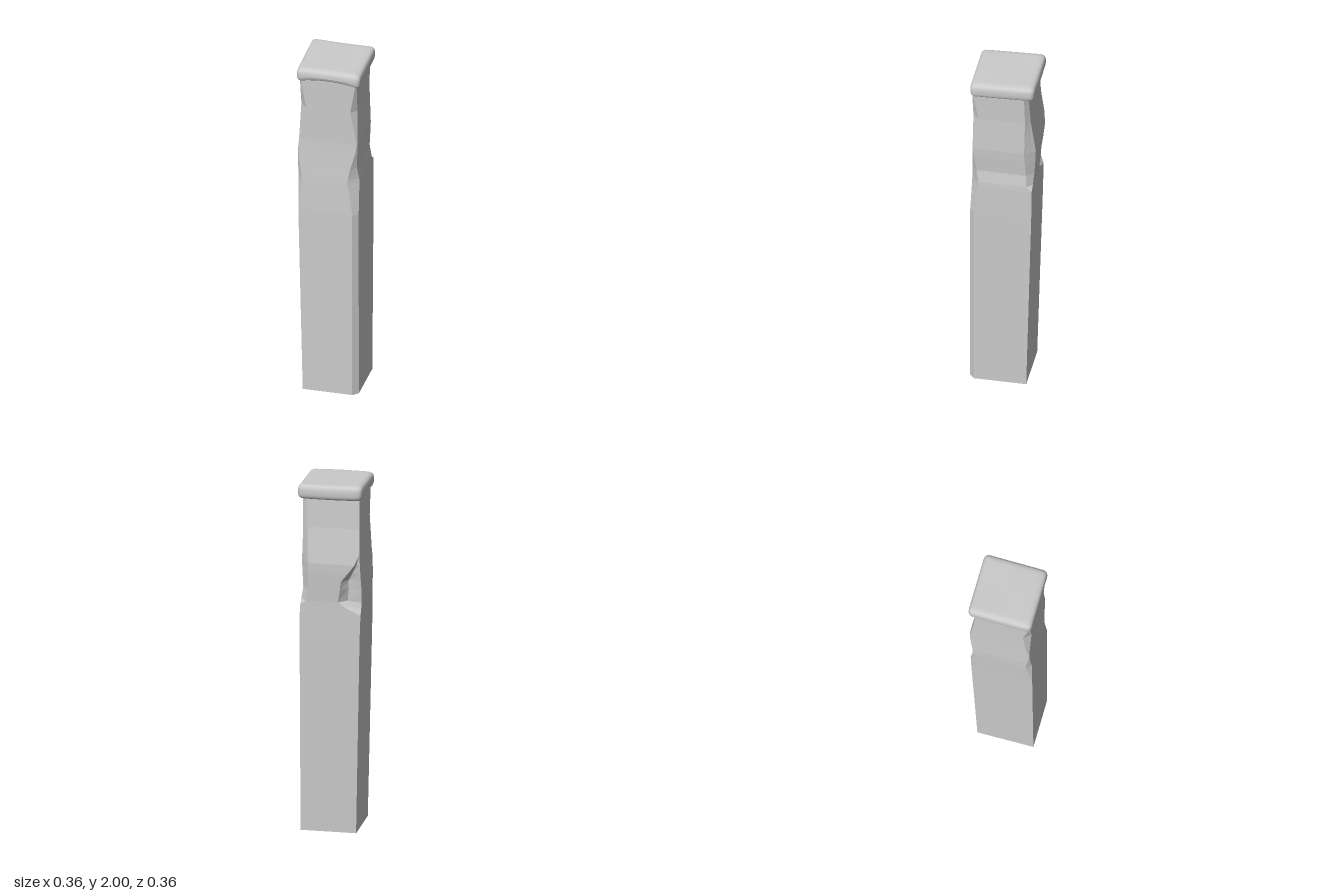
import * as THREE from 'three';
import { mergeVertices } from 'three/addons/utils/BufferGeometryUtils.js';

const mat = new THREE.MeshStandardMaterial({ color: 0xcccccc });
const flatMat = new THREE.MeshStandardMaterial({ color: 0xcccccc, flatShading: true });

// Linear interpolation in a list of [y, ...values]
function sample(keys, y) {
  if (y <= keys[0][0]) return keys[0].slice(1);
  for (let i = 1; i < keys.length; i++) {
    const a = keys[i - 1], b = keys[i];
    if (y <= b[0]) {
      const t = (y - a[0]) / (b[0] - a[0]);
      return a.slice(1).map((v, k) => v + (b[k + 1] - v) * t);
    }
  }
  return keys[keys.length - 1].slice(1);
}

// Side planes by height: [y, left x, right x, back z, front z]
const sides = [
  [0, -0.14, 0.17, -0.135, 0.183],
  [1.12, -0.165, 0.17, -0.163, 0.183],
  [1.32, -0.173, 0.168, -0.165, 0.177],
  [1.4, -0.174, 0.156, -0.171, 0.172],
  [1.54, -0.168, 0.165, -0.18, 0.166],
  [1.75, -0.162, 0.157, -0.152, 0.168],
  [1.94, -0.16, 0.16, -0.14, 0.17],
];

// Chipped corners: [y, cut along x, cut along z, depth of the hollow]
const corners = [
  { sx: 1, sz: 1, cuts: [[0, 0.03, 0.028, 0], [1.12, 0.03, 0.025, 0], [1.32, 0.058, 0.045, 0],
    [1.4, 0.03, 0.028, 0], [1.54, 0.002, 0.002, 0], [1.75, 0.032, 0.033, 0], [1.92, 0.003, 0.003, 0]] },
  { sx: 1, sz: -1, cuts: [[1.3, 0, 0, 0], [1.33, 0.03, 0.033, 0], [1.54, 0.045, 0.058, 0],
    [1.75, 0.028, 0.026, 0], [1.94, 0.024, 0.02, 0]] },
  { sx: -1, sz: -1, cuts: [[1.26, 0, 0, 0], [1.32, 0.13, 0.02, 0.035], [1.45, 0.11, 0.016, 0.04],
    [1.54, 0.035, 0.012, 0.01], [1.61, 0, 0, 0]] },
  { sx: -1, sz: 1, cuts: [[1.12, 0, 0, 0], [1.32, 0.025, 0.03, 0], [1.5, 0, 0, 0],
    [1.56, 0.014, 0.012, 0], [1.75, 0.038, 0.04, 0], [1.92, 0, 0, 0]] },
];

// Twelve-point cross-section, three points per corner
function ring(y) {
  const [x0, x1, z0, z1] = sample(sides, y);
  return corners.flatMap(({ sx, sz, cuts }) => {
    const [cx, cz, d] = sample(cuts, y);
    const x = sx > 0 ? x1 : x0, z = sz > 0 ? z1 : z0;
    const onZ = [x - sx * cx, y, z];
    const onX = [x, y, z - sz * cz];
    const mid = [x - sx * (cx / 2 + d * 0.5), y, z - sz * (cz / 2 + d)];
    return sx * sz > 0 ? [onZ, mid, onX] : [onX, mid, onZ];
  });
}

function postGeometry() {
  const levels = [0, 1.12, 1.26, 1.3, 1.33, 1.4, 1.45, 1.5, 1.55, 1.61, 1.75, 1.94];
  const n = 12, pos = levels.flatMap(y => ring(y).flat()), idx = [];
  for (let l = 0; l < levels.length - 1; l++) {
    for (let i = 0; i < n; i++) {
      const a = l * n + i, b = l * n + (i + 1) % n;
      idx.push(a, b, b + n, a, b + n, a + n);
    }
  }
  // bottom and top
  const top = (levels.length - 1) * n;
  for (let i = 1; i < n - 1; i++) idx.push(0, i + 1, i, top, top + i, top + i + 1);
  const g = new THREE.BufferGeometry();
  g.setAttribute('position', new THREE.Float32BufferAttribute(pos, 3));
  g.setIndex(idx);
  g.computeVertexNormals();
  return g;
}

// Rounded slab, bent into an uneven, slightly tilted lid
function capGeometry() {
  const w = 0.18, h = 0.042, r = 0.028;
  let g = new THREE.BoxGeometry(2 * w, 2 * h, 2 * w, 20, 6, 20);
  g.deleteAttribute('normal');
  g.deleteAttribute('uv');
  g = mergeVertices(g);
  const p = g.attributes.position, v = new THREE.Vector3(), c = new THREE.Vector3();
  const core = new THREE.Vector3(w - r, h - r, w - r);
  for (let i = 0; i < p.count; i++) {
    v.fromBufferAttribute(p, i);
    c.copy(v).clamp(core.clone().negate(), core);
    v.sub(c);
    if (v.lengthSq() > 0) v.setLength(r);
    v.add(c);
    const u = v.x / w, q = v.z / w;
    const arch = (1 - u * u) * (v.y < 0 ? 0.022 : 0.004) * (0.5 + 0.5 * q);
    v.y += 1.95 - 0.008 * q - 0.002 * u + arch - 0.004 * (1 - u * u) * (1 - q) * 0.5;
    p.setXYZ(i, v.x, Math.min(v.y, 2), v.z);
  }
  g.computeVertexNormals();
  return g;
}

export function createModel() {
  const group = new THREE.Group();
  group.name = 'stonePost';
  const post = new THREE.Mesh(postGeometry(), flatMat);
  post.name = 'chippedShaft';
  const cap = new THREE.Mesh(capGeometry(), mat);
  cap.name = 'cap';
  group.add(post, cap);
  return group;
}
